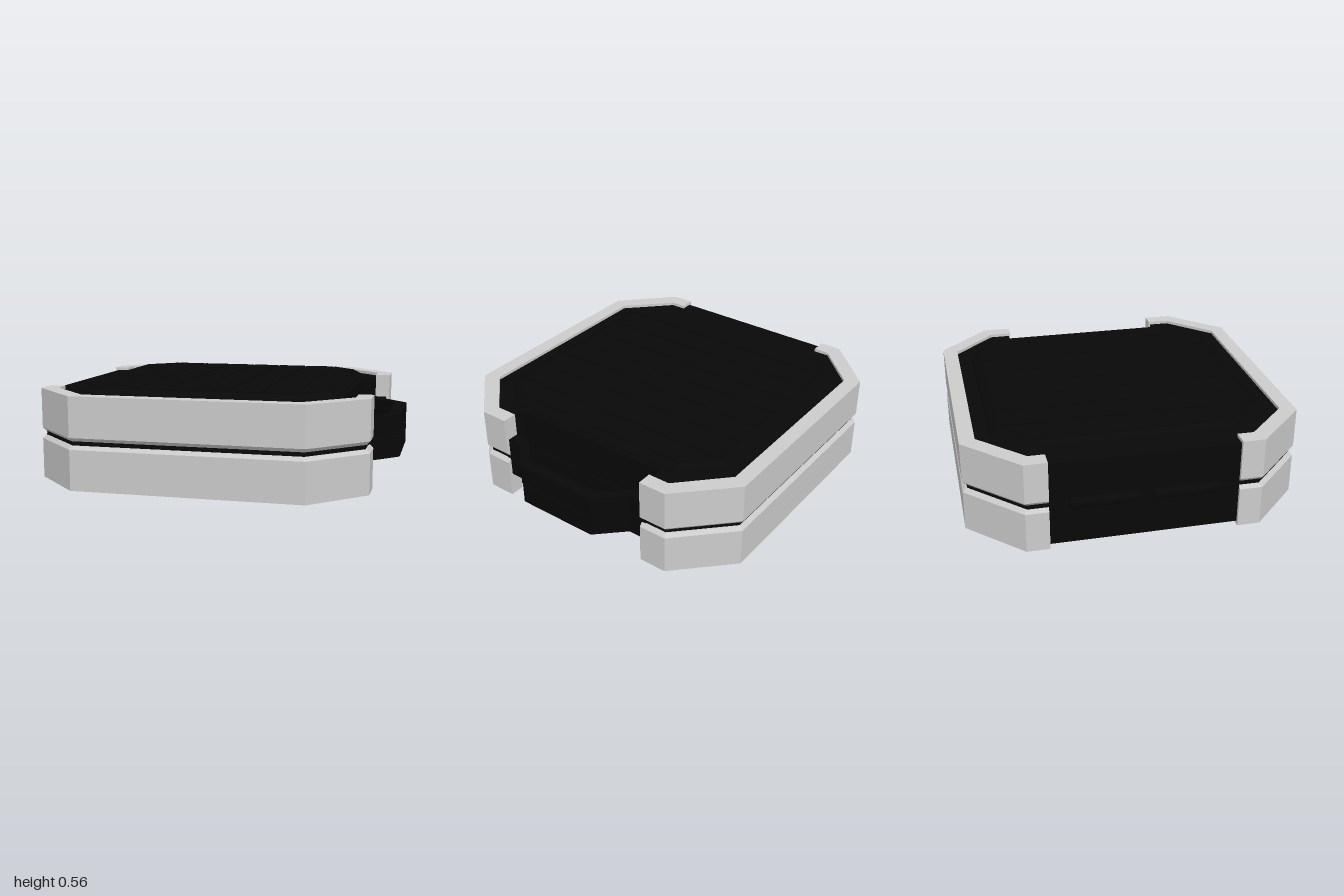
import * as THREE from 'three';

const grey = new THREE.MeshStandardMaterial({ color: 0xcccccc, flatShading: true });
const black = new THREE.MeshStandardMaterial({ color: 0x080808, flatShading: true });

// Solid through stacked rings: layers = [[y, [[x, z], ...]], ...], low to high
function loft(name, material, layers) {
  const rings = layers.map(([y, pts]) => {
    const v = pts.map(([x, z]) => new THREE.Vector2(x, z));
    if (THREE.ShapeUtils.area(v) < 0) v.reverse();
    return { y, v };
  });
  const n = rings[0].v.length, pos = [], idx = [];
  rings.forEach(({ y, v }) => v.forEach((p) => pos.push(p.x, y, p.y)));
  for (let r = 0; r < rings.length - 1; r++) {
    for (let i = 0; i < n; i++) {
      const a = r * n + i, b = r * n + (i + 1) % n;
      idx.push(a, a + n, b, b, a + n, b + n);
    }
  }
  const cap = ({ v }, offset, up) => {
    for (const [a, b, c] of THREE.ShapeUtils.triangulateShape(v, [])) {
      const ccw = THREE.ShapeUtils.area([v[a], v[b], v[c]]) > 0;
      idx.push(offset + a, ...(ccw !== up ? [offset + b, offset + c] : [offset + c, offset + b]));
    }
  };
  cap(rings[0], 0, false);
  cap(rings[rings.length - 1], (rings.length - 1) * n, true);
  const indexed = new THREE.BufferGeometry();
  indexed.setAttribute('position', new THREE.Float32BufferAttribute(pos, 3));
  indexed.setIndex(idx);
  const g = indexed.toNonIndexed();
  g.computeVertexNormals();
  const mesh = new THREE.Mesh(g, material);
  mesh.name = name;
  return mesh;
}

// Close a half outline (z > 0) by mirroring it across z = 0
const mirrorZ = (pts) => [...pts, ...pts.map(([x, z]) => [x, -z]).reverse()];

// Outline of a protective band on one side, outer edge drawn in by d
const band = (s, d) => [
  [-0.98 + d, 0.51], [-0.98 + d, 0.635 - d * 0.41], [-0.69 + d * 0.41, 0.925 - d],
  [0.585 - d * 0.41, 0.925 - d], [0.875 - d, 0.635 - d * 0.41], [0.875 - d, 0.475],
  [0.79, 0.475], [0.79, 0.60], [0.545, 0.84], [-0.65, 0.84], [-0.89, 0.60], [-0.89, 0.51],
].map(([x, z]) => [x, z * s]);

// One half of the case, split plane at y = 0
function createHalf(name) {
  const half = new THREE.Group();
  half.name = name;

  // Shell, with a recess on the handle side
  const shell = mirrorZ([[-0.962, 0.62], [-0.68, 0.9], [0.575, 0.9],
    [0.85, 0.625], [0.85, 0.485], [0.71, 0.485]]);
  half.add(loft('shell', black, [[0.003, shell], [0.238, shell]]));

  // Raised panel with sloping edges
  const low = mirrorZ([[-0.82, 0.56], [-0.62, 0.765], [0.51, 0.765], [0.7, 0.57]]);
  const mid = mirrorZ([[-0.8, 0.555], [-0.61, 0.75], [0.5, 0.75], [0.685, 0.56]]);
  const high = mirrorZ([[-0.77, 0.54], [-0.6, 0.71], [0.49, 0.71], [0.65, 0.55]]);
  half.add(loft('raisedPanel', black, [[0.23, low], [0.255, mid], [0.274, high]]));

  // Shallow ribs running across the panel
  const cuts = [-0.765, -0.58, -0.4, -0.22, -0.05, 0.12, 0.3, 0.49, 0.645];
  const reach = (x) => Math.min(0.7, x + 1.3, 1.19 - x);
  for (let i = 0; i < cuts.length - 1; i++) {
    const a = cuts[i] + 0.006, b = cuts[i + 1] - 0.006;
    const rib = mirrorZ([[a, reach(a)], [b, reach(b)]]);
    half.add(loft('rib', black, [[0.27, rib], [0.28, rib]]));
  }

  // Bands, chamfered along the split
  for (const s of [1, -1]) {
    half.add(loft('protectiveBand', grey, [
      [0.012, band(s, 0.018)], [0.032, band(s, 0)], [0.256, band(s, 0)],
    ]));
  }

  // Half of the carrying handle
  const handle = [
    ...[[0.79, 0.5], [0.855, 0.5], [0.855, 0.39], [1, 0.24]],
    ...[[1, -0.24], [0.855, -0.39], [0.855, -0.5], [0.79, -0.5]],
    ...[[0.79, -0.39], [0.93, -0.235], [0.93, 0.235], [0.79, 0.39]],
  ];
  half.add(loft('handle', black, [[0.003, handle], [0.12, handle]]));
  return half;
}

export function createModel() {
  const model = new THREE.Group();
  model.name = 'carryCase';

  const lid = createHalf('lid');
  const base = createHalf('base');
  base.rotation.x = Math.PI;
  lid.position.y = base.position.y = 0.28;
  model.add(lid, base);

  // Two hinge barrels opposite the handle
  for (const s of [1, -1]) {
    const hinge = new THREE.Mesh(new THREE.CylinderGeometry(0.03, 0.03, 0.36, 12), black);
    hinge.name = 'hinge';
    hinge.rotation.x = Math.PI / 2;
    hinge.position.set(-0.97, 0.28, 0.22 * s);
    model.add(hinge);
  }
  return model;
}
